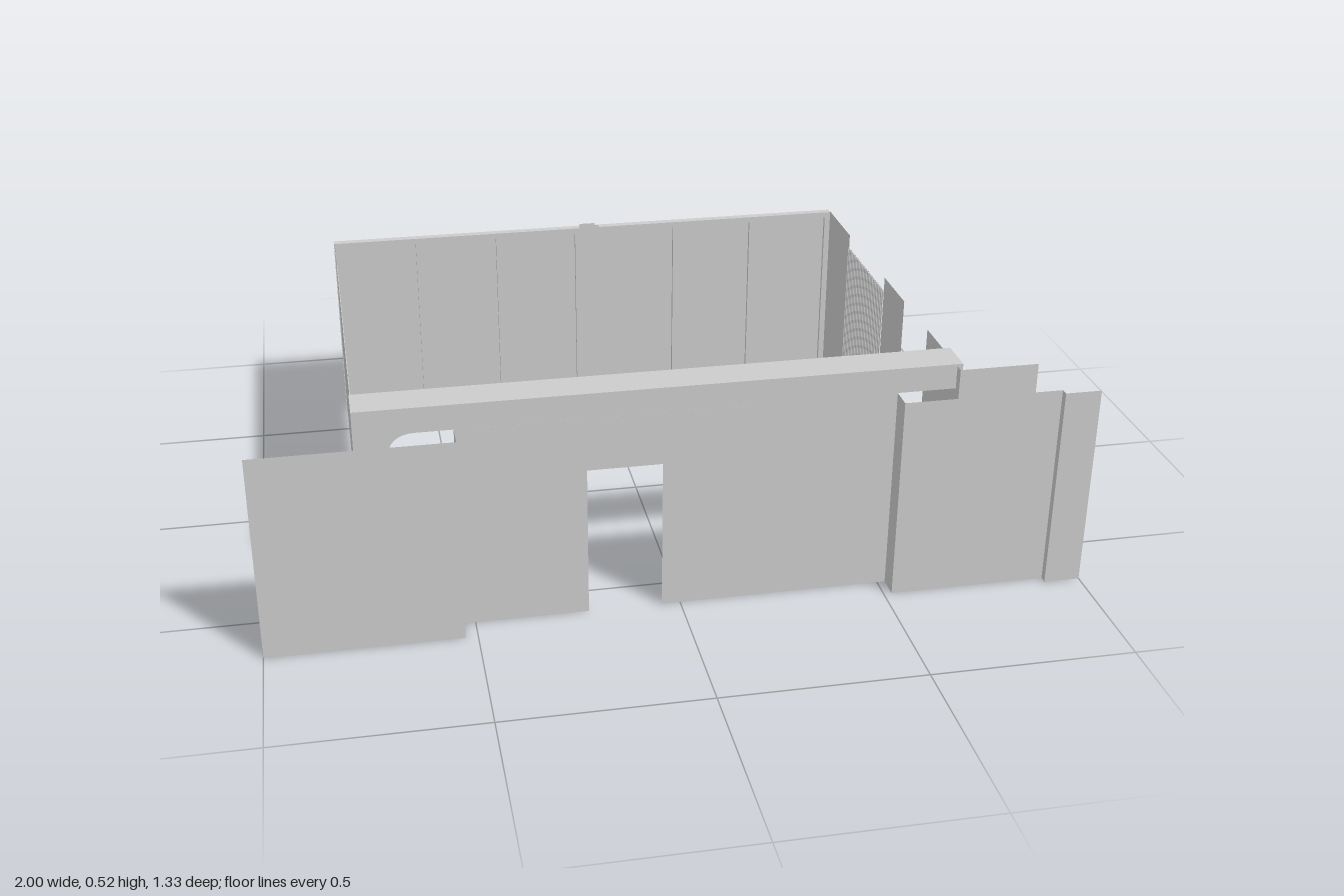
import * as THREE from 'three';

export function createModel() {
  const group = new THREE.Group();
  const solid = new THREE.MeshStandardMaterial({ color: 0xcccccc, flatShading: true });
  const sheet = new THREE.MeshStandardMaterial({ color: 0xcccccc, flatShading: true, side: THREE.DoubleSide });

  function add(name, geometry, material = sheet) {
    const mesh = new THREE.Mesh(geometry, material);
    mesh.name = name;
    group.add(mesh);
    return mesh;
  }

  // Upright sheet following a plan line of [x, z] points
  function strip(name, points, height, base = 0) {
    const pos = [], index = [];
    points.forEach(([x, z], i) => {
      pos.push(x, base, z, x, height, z);
      if (i) {
        const a = 2 * i - 2;
        index.push(a, a + 2, a + 3, a, a + 3, a + 1);
      }
    });
    const geo = new THREE.BufferGeometry();
    geo.setAttribute('position', new THREE.Float32BufferAttribute(pos, 3));
    geo.setIndex(index);
    geo.computeVertexNormals();
    return add(name, geo);
  }

  function rectangle(PathType, x0, y0, x1, y1) {
    const p = new PathType();
    p.moveTo(x0, y0);
    p.lineTo(x1, y0);
    p.lineTo(x1, y1);
    p.lineTo(x0, y1);
    p.closePath();
    return p;
  }

  // Stepped front wall with a doorway
  const H = 0.52, zMid = 0.592;
  strip('frontWallRightWing', [[-1, 0.655], [-0.53, 0.655], [-0.53, zMid]], H);
  strip('frontWallLeftWing',
    [[0.52, zMid], [0.52, 0.648], [0.91, 0.648], [0.91, 0.667], [1, 0.667]], H);
  const front = new THREE.Shape();
  [[-0.53, 0], [-0.225, 0], [-0.225, 0.385], [-0.045, 0.385], [-0.045, 0],
    [0.52, 0], [0.52, H], [-0.53, H]].forEach(([x, y], i) => (i ? front.lineTo(x, y) : front.moveTo(x, y)));
  add('frontWallWithDoorway', new THREE.ShapeGeometry(front)).position.z = zMid;

  // Corner wall, notched where the beam passes through
  strip('cornerFrontPanel', [[0.71, 0.497], [0.91, 0.497]], H);
  const corner = new THREE.Shape();
  [[-0.497, 0], [-0.248, 0], [-0.248, H], [-0.376, H], [-0.376, 0.46],
    [-0.474, 0.46], [-0.474, H], [-0.497, H]]
    .forEach(([x, y], i) => (i ? corner.lineTo(x, y) : corner.moveTo(x, y)));
  const cornerWall = add('cornerSidePanel', new THREE.ShapeGeometry(corner));
  cornerWall.rotation.y = Math.PI / 2;
  cornerWall.position.x = 0.71;

  // Left side: plain panels either side of a corrugated shutter
  strip('sidePanelFront', [[0.71, 0.06], [0.71, -0.11]], H);
  strip('sidePanelBack', [[0.71, -0.44], [0.71, -0.645]], H);
  const ribs = [], ribCount = 24, pitch = 0.33 / ribCount;
  for (let i = 0; i < ribCount; i++) {
    const z = -0.11 - i * pitch;
    ribs.push([0.707, z], [0.707, z - pitch * 0.45], [0.712, z - pitch * 0.55], [0.712, z - pitch * 0.95]);
  }
  ribs.push([0.707, -0.44]);
  strip('corrugatedShutter', ribs, 0.48);

  // Beam with a post at one end and a rounded inner corner
  const beam = new THREE.Shape();
  beam.moveTo(-0.757, 0);
  beam.lineTo(-0.68, 0);
  beam.lineTo(-0.68, 0.39);
  beam.quadraticCurveTo(-0.68, 0.46, -0.61, 0.46);
  beam.lineTo(0.725, 0.46);
  beam.lineTo(0.725, 0.525);
  beam.lineTo(-0.757, 0.525);
  beam.closePath();
  add('beamAndPost', new THREE.ExtrudeGeometry(beam, { depth: 0.097, bevelEnabled: false, curveSegments: 8 }), solid)
    .position.z = 0.376;

  // Right side wall with shallow wainscot mouldings on the inside
  strip('rightWall', [[-0.755, -0.655], [-0.755, 0.376]], 0.525);
  const rail = add('wallRail', new THREE.BoxGeometry(0.004, 0.018, 1.02), solid);
  rail.position.set(-0.753, 0.175, -0.135);
  function moulding(z0, z1, y0, y1) {
    const frame = rectangle(THREE.Shape, -z1, y0, -z0, y1);
    frame.holes.push(rectangle(THREE.Path, -z1 + 0.008, y0 + 0.008, -z0 - 0.008, y1 - 0.008));
    const mesh = add('wallMoulding', new THREE.ExtrudeGeometry(frame, { depth: 0.003, bevelEnabled: false }), solid);
    mesh.rotation.y = Math.PI / 2;
    mesh.position.x = -0.755;
  }
  for (const [z0, z1] of [[0.12, 0.235], [-0.04, 0.11], [-0.63, -0.06]]) {
    moulding(z0, z1, 0.19, 0.455);
    moulding(z0, z1, 0.035, 0.15);
  }

  // Back wall: two framed halves of three recessed panels each
  for (const [x0, x1] of [[-0.757, -0.045], [0, 0.71]]) {
    const edge = 0.016, top = 0.518;
    const frame = rectangle(THREE.Shape, x0, 0, x1, top);
    const bay = (x1 - x0 - 4 * edge) / 3;
    for (let i = 0; i < 3; i++) {
      const left = x0 + edge + i * (bay + edge);
      frame.holes.push(rectangle(THREE.Path, left, edge, left + bay, top - edge));
    }
    add('backWallFrame', new THREE.ExtrudeGeometry(frame, { depth: 0.022, bevelEnabled: false }), solid)
      .position.z = -0.667;
    strip('backWallPanes', [[x0 + 0.004, -0.656], [x1 - 0.004, -0.656]], top - 0.004, 0.004);
  }
  strip('backWallCentreFront', [[-0.05, -0.644], [0.008, -0.644]], 0.525);
  strip('backWallCentreBack', [[-0.045, -0.662], [0, -0.662]], 0.525);

  return group;
}
